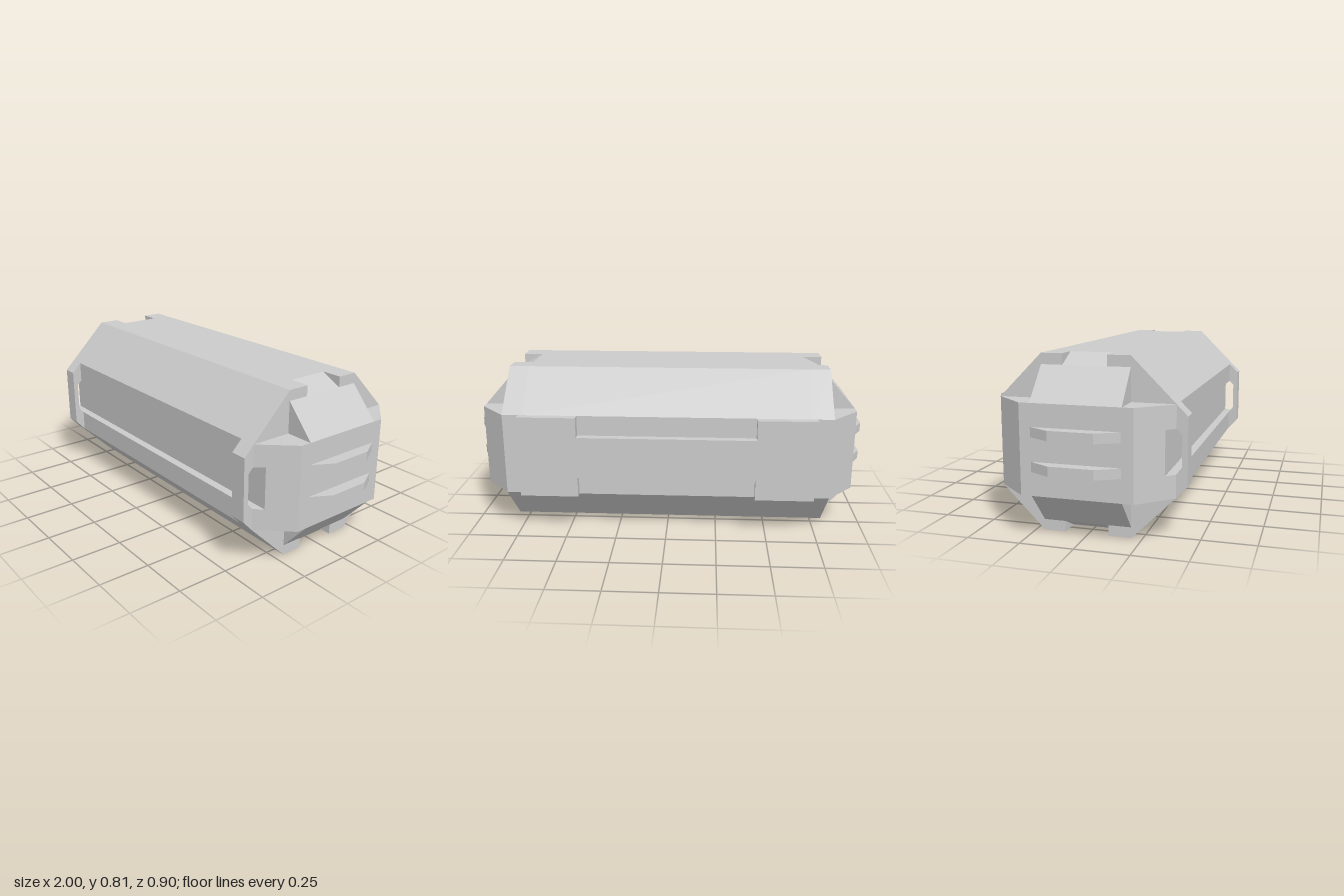
import * as THREE from 'three';

const H = 0.81; // total height
const material = new THREE.MeshStandardMaterial({ color: 0xcccccc, flatShading: true });

// Extrude an outline along an axis, from "start" to "end".
// Outline pairs are (z, y) for axis x, (x, z) for axis y and (x, y) for axis z.
function prism(name, axis, points, start, end) {
  const outline = points.map(([a, b]) =>
    new THREE.Vector2(axis === 'x' ? -a : a, axis === 'y' ? -b : b));
  const geometry = new THREE.ExtrudeGeometry(new THREE.Shape(outline), { depth: end - start, bevelEnabled: false });
  geometry.translate(0, 0, start);
  if (axis === 'x') geometry.rotateY(Math.PI / 2);
  if (axis === 'y') geometry.rotateX(-Math.PI / 2);
  const mesh = new THREE.Mesh(geometry, material);
  mesh.name = name;
  return mesh;
}

// Octagonal body section with a front groove; optionally notched top and bottom
function bodyProfile(notched) {
  const top = notched ? [[0.095, 0.81], [0.095, 0.76], [-0.11, 0.76], [-0.11, 0.81]] : [];
  const bottom = top.map(([z, y]) => [z, H - y]).reverse();
  return [
    [0.4, 0.2], [0.4, 0.305], [0.36, 0.305], [0.36, 0.505], [0.4, 0.505], [0.4, 0.61],
    [0.2, 0.81], ...top, [-0.21, 0.81],
    [-0.41, 0.61], [-0.41, 0.2],
    [-0.21, 0], ...bottom, [0.2, 0],
  ];
}

export function createModel() {
  const model = new THREE.Group();
  model.name = 'octagonalContainer';

  // Main body
  model.add(prism('body', 'x', bodyProfile(false), -0.71, 0.71));

  // Raised back plate, narrower in the middle
  model.add(prism('backPlate', 'z', [
    [-0.73, 0.2], [-0.44, 0.2], [-0.44, 0.3], [0.44, 0.3], [0.44, 0.2], [0.73, 0.2],
    [0.73, 0.61], [0.44, 0.61], [0.44, 0.51], [-0.44, 0.51], [-0.44, 0.61], [-0.73, 0.61],
  ], -0.45, -0.41));

  for (const s of [1, -1]) {
    const end = new THREE.Group();
    end.name = s > 0 ? 'leftEnd' : 'rightEnd';
    model.add(end);
    const span = (a, b) => (s > 0 ? [a, b] : [-b, -a]);
    const side = (points) => points.map(([x, other]) => [s * x, other]);

    // Notched end section of the body
    end.add(prism('bodyEnd', 'x', bodyProfile(true), ...span(0.71, 0.81)));

    // Front rail, a C-shaped bracket bridging the groove
    end.add(prism('frontRail', 'x', [
      [0.4, 0.2], [0.45, 0.255], [0.45, 0.56], [0.4, 0.61],
      [0.4, 0.505], [0.425, 0.48], [0.425, 0.333], [0.4, 0.305],
    ], ...span(0.73, 0.81)));

    // Sloped notch floors and sloped cap blocks, top and bottom
    for (const flip of [false, true]) {
      const place = (points) => side(points.map(([x, y]) => [x, flip ? H - y : y]));
      const label = flip ? 'bottom' : 'top';
      end.add(prism(label + 'NotchRamp', 'z', place([[0.71, 0.76], [0.81, 0.76], [0.71, 0.81]]), -0.11, 0.095));
      end.add(prism(label + 'CapSlope', 'z', place([[0.81, 0.61], [0.945, 0.61], [0.81, 0.76]]), -0.21, 0.2));
    }

    // End cap in three layers, the middle one cut by the front groove
    const back = [[0.945, 0.25], [0.945, -0.26], [0.81, -0.41]];
    const full = side([[0.81, 0.4], ...back]);
    const grooved = side([[0.81, 0.36], [0.846, 0.36], ...back]);
    end.add(prism('capLower', 'y', full, 0.2, 0.305));
    end.add(prism('capMiddle', 'y', grooved, 0.305, 0.505));
    end.add(prism('capUpper', 'y', full, 0.505, 0.61));

    // Two tapered fins
    for (const y of [0.308, 0.461]) {
      end.add(prism('fin', 'y', side([[0.945, 0.195], [1, 0.095], [1, -0.11], [0.945, -0.21]]), y, y + 0.045));
    }
  }
  return model;
}
